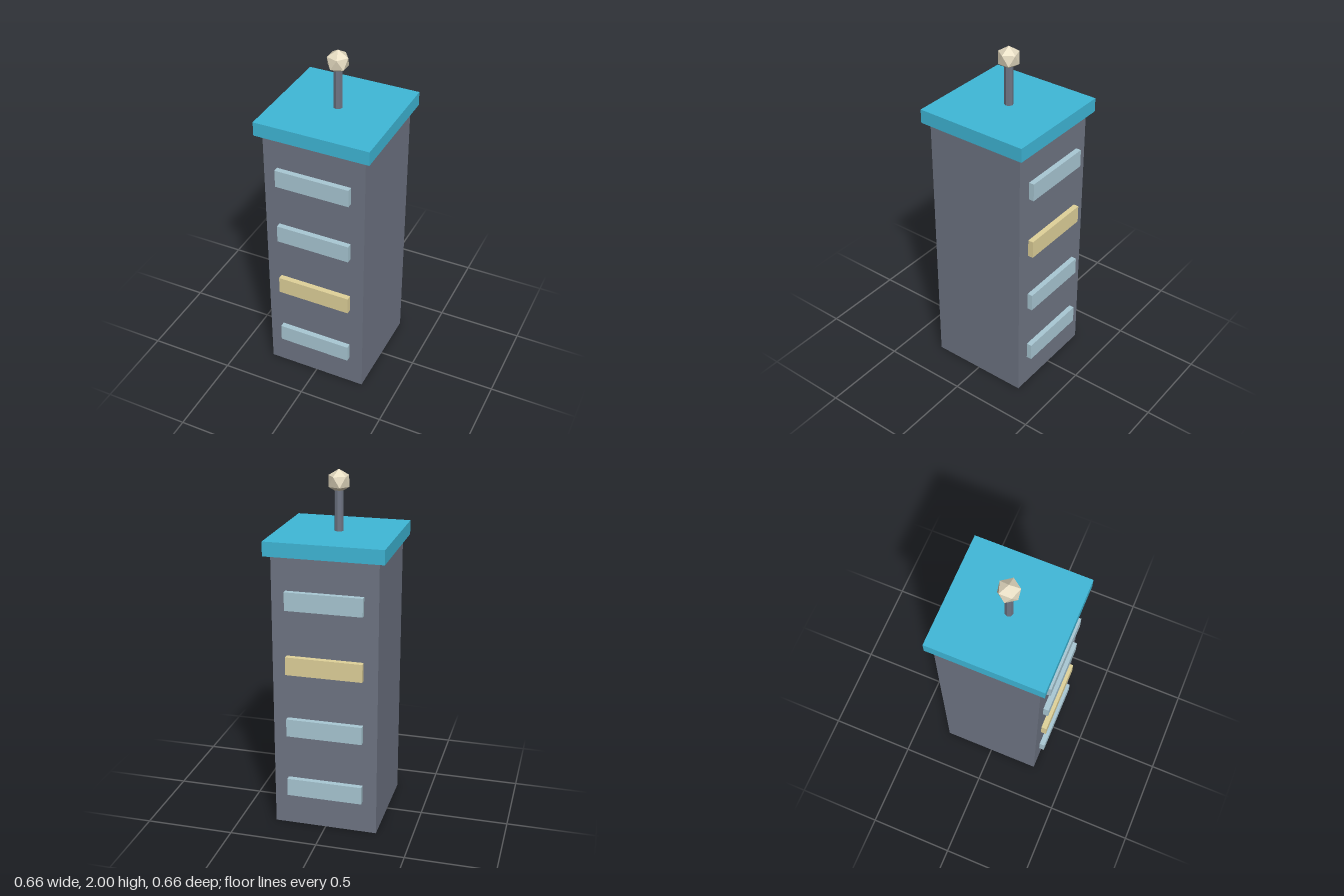
import * as THREE from 'three';

const mat = (color) => new THREE.MeshStandardMaterial({ color, flatShading: true });

export function createModel() {
  const tower = new THREE.Group();
  tower.name = 'tower';

  const wall = mat(0x6f7584);
  const roofBlue = mat(0x3fb8d8);
  const glass = mat(0xa9c8d4);
  const litGlass = mat(0xe0d29a);
  const ivory = mat(0xe6dcc2);

  const add = (name, geometry, material, x, y, z) => {
    const mesh = new THREE.Mesh(geometry, material);
    mesh.name = name;
    mesh.position.set(x, y, z);
    tower.add(mesh);
    return mesh;
  };

  // Shaft and overhanging roof slab
  add('shaft', new THREE.BoxGeometry(0.59, 1.585, 0.59), wall, 0, 0.7925, 0);
  add('roofSlab', new THREE.BoxGeometry(0.658, 0.08, 0.658), roofBlue, 0, 1.625, 0);

  // Four window strips on the front and back, one lit on each side
  const strip = new THREE.BoxGeometry(0.43, 0.103, 0.06);
  for (const [side, name, lit] of [[1, 'frontWindow', 1], [-1, 'backWindow', 2]]) {
    for (let i = 0; i < 4; i++) {
      add(name + (i + 1), strip, i === lit ? litGlass : glass, 0, 0.241 + i * 0.368, side * 0.296);
    }
  }

  // Mast with a faceted ball, turned so one corner points up
  add('mast', new THREE.CylinderGeometry(0.025, 0.025, 0.25, 8), wall, 0, 1.785, 0);
  const ball = add('mastBall', new THREE.IcosahedronGeometry(0.065, 0), ivory, 0, 1.935, 0);
  ball.rotation.z = -Math.atan(2 / (1 + Math.sqrt(5)));

  return tower;
}
